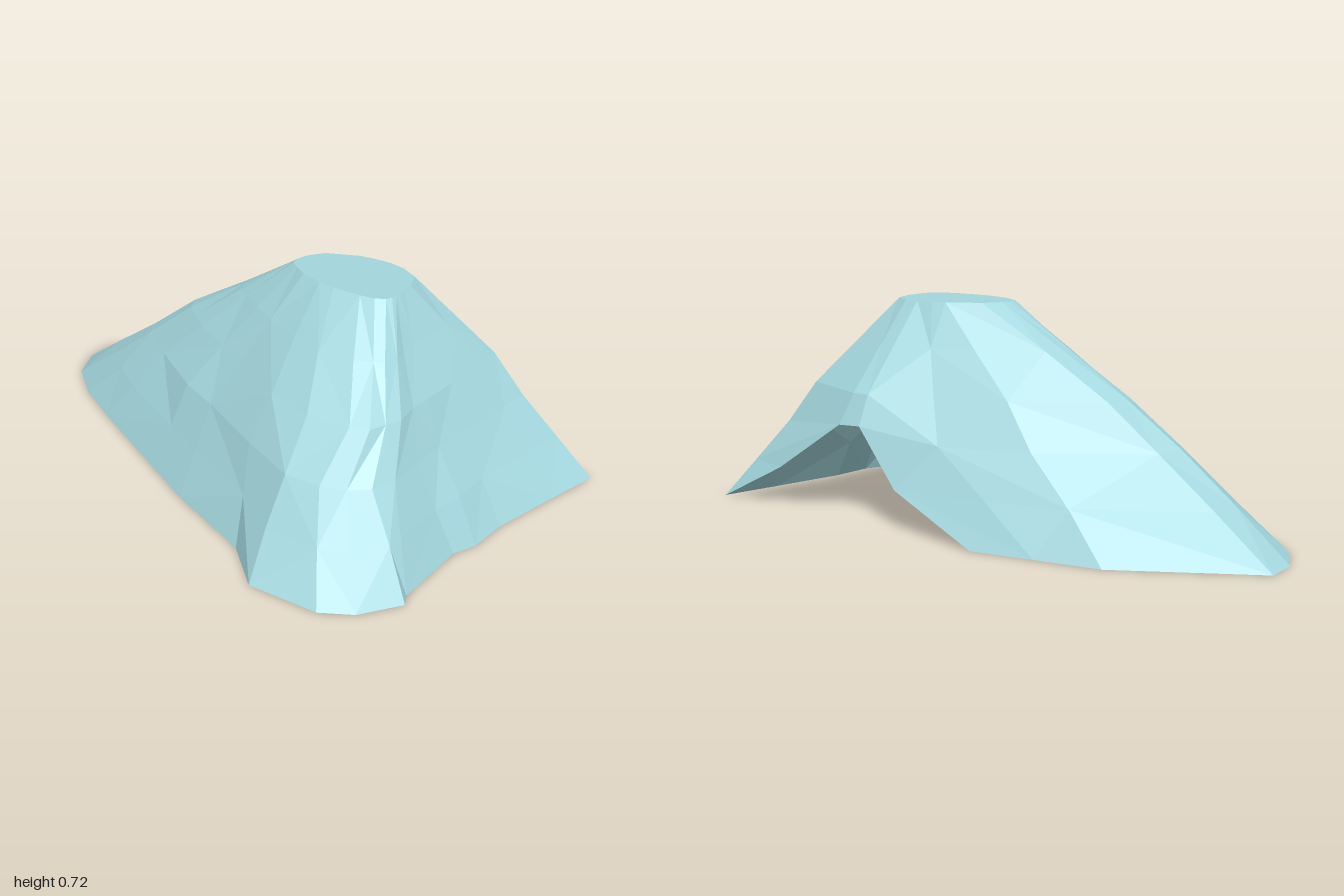
import * as THREE from 'three';

// Plan outlines (x, z) from the back right corner, round the front, to the back left
const BASE = [
  1, -.6, 1, -.6, .95, -.4, .89, -.15, .88, -.01, .845, .07, .84, .34, .86, .38, .77, .51, .67, .575, .43, .6,
  .28, .48, -.05, .38, -.25, .3, -.62, .15, -.8, .07, -.94, -.03, -1, -.15, -1, -.26, -.57, -.51, -.35, -.555, -.14, -.6,
];
const LOWER = [
  .41, -.6, .75, -.51, .735, -.4, .71, -.2, .7, -.05, .7, .08, .7, .21, .665, .285, .6, .34, .52, .375, .4, .39,
  .2, .32, -.05, .21, -.2, .15, -.42, .04, -.5, -.01, -.57, -.06, -.6, -.11, -.57, -.19, -.25, -.42, .05, -.52, .32, -.6,
];
const UPPER = [
  .38, -.56, .645, -.475, .645, -.38, .635, -.2, .625, -.08, .625, .01, .63, .1, .62, .155, .585, .2, .525, .23, .38, .255,
  .22, .22, 0, .12, -.11, .07, -.27, -.01, -.34, -.05, -.39, -.09, -.42, -.14, -.39, -.21, -.12, -.39, .12, -.46, .32, -.555,
];
const TOP = [
  .36, -.32, .42, -.29, .45, -.22, .455, -.18, .455, -.15, .453, -.13, .45, -.11, .44, -.09, .41, -.07, .36, -.06, .26, -.055,
  .2, -.06, .12, -.08, .07, -.11, .04, -.13, .035, -.15, .035, -.17, .04, -.2, .08, -.26, .19, -.315, .24, -.325, .3, -.33,
];
const COLUMNS = BASE.length / 2;
const LAST = COLUMNS - 1;
const HEIGHT = 0.722;
// The two outlines blended into each layer, and the amount of the second
const LAYERS = [
  [BASE, BASE, 0], [BASE, LOWER, 0.5], [LOWER, LOWER, 0],
  [UPPER, UPPER, 0], [UPPER, TOP, 0.5], [TOP, TOP, 0],
];
const TOP_LAYER = LAYERS.length - 1;

function seeded(seed) {
  return () => {
    seed = (seed * 16807) % 2147483647;
    return seed / 2147483647 - 0.5;
  };
}

// Evenly spaced layers, with a little roughness between base and summit
function buildRings() {
  const random = seeded(71);
  const rings = LAYERS.map(([from, to, t], k) => {
    const ring = [];
    for (let i = 0; i < COLUMNS; i++) {
      const rough = k === 0 || k === TOP_LAYER || i < 2 || i === LAST ? 0 : 0.014;
      const x = THREE.MathUtils.lerp(from[2 * i], to[2 * i], t) + random() * rough;
      const z = THREE.MathUtils.lerp(from[2 * i + 1], to[2 * i + 1], t) + random() * rough;
      ring.push(new THREE.Vector3(x, HEIGHT * k / TOP_LAYER, Math.max(z, -0.6)));
    }
    return ring;
  });
  // Crown and steeper left side of the arch at the back
  rings[1][LAST].x = 0.17;
  rings[2][0].y = 0.33;
  rings[2][LAST].y = 0.335;
  return rings;
}

function facetedMesh(name, points, material) {
  const geometry = new THREE.BufferGeometry().setFromPoints(points);
  geometry.computeVertexNormals();
  const mesh = new THREE.Mesh(geometry, material);
  mesh.name = name;
  return mesh;
}

export function createModel() {
  const group = new THREE.Group();
  group.name = 'mountain';
  const paleRock = new THREE.MeshStandardMaterial({ color: 0xa4d7de, flatShading: true, side: THREE.DoubleSide });
  paleRock.name = 'pale blue rock';
  const rings = buildRings();

  // Slopes: the lower layers stay open at the back, leaving the arch
  const slopes = [];
  for (let k = 0; k < TOP_LAYER; k++) {
    const count = k < 2 ? LAST : COLUMNS;
    for (let i = 0; i < count; i++) {
      const j = (i + 1) % COLUMNS;
      const a = rings[k][i], b = rings[k][j], c = rings[k + 1][i], d = rings[k + 1][j];
      if ((i + k) % 2) slopes.push(b, a, c, b, c, d);
      else slopes.push(b, a, d, a, c, d);
    }
  }
  group.add(facetedMesh('slopes', slopes, paleRock));

  // Flat summit
  const summit = [];
  const rim = rings[TOP_LAYER];
  const centre = new THREE.Vector3(0.25, HEIGHT, -0.19);
  rim.forEach((p, i) => summit.push(centre, rim[(i + 1) % COLUMNS], p));
  group.add(facetedMesh('summit', summit, paleRock));

  return group;
}
